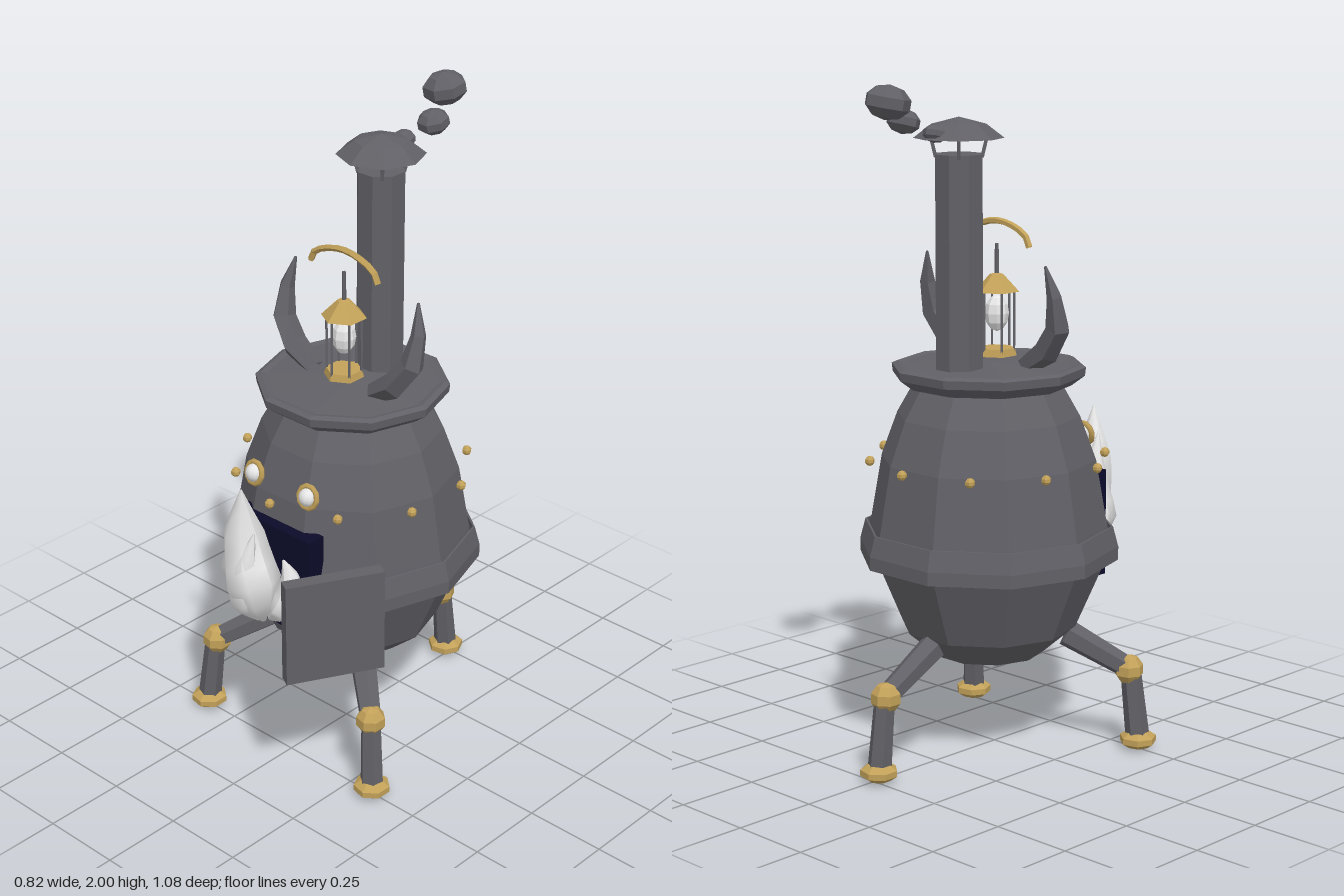
import * as THREE from 'three';

const paint = (name, color, side = THREE.FrontSide) => {
  const m = new THREE.MeshStandardMaterial({ color, side });
  m.name = name;
  return m;
};
const V = (x, y, z) => new THREE.Vector3(x, y, z);

// Faceted copy of a geometry
function flat(g) {
  const f = g.index ? g.toNonIndexed() : g;
  f.computeVertexNormals();
  return f;
}
const lathe = (pts, sides) =>
  flat(new THREE.LatheGeometry(pts.map(p => new THREE.Vector2(p[0], p[1])), sides));
const ball = (r, w = 7, h = 5) => flat(new THREE.SphereGeometry(r, w, h));

// Tapered tube: radii are spread evenly along the path
function horn(path, radii, sides, steps) {
  const curve = new THREE.CatmullRomCurve3(path);
  const g = new THREE.TubeGeometry(curve, steps, 1, sides, false);
  const pos = g.attributes.position, v = V(0, 0, 0);
  for (let i = 0; i <= steps; i++) {
    const c = curve.getPointAt(i / steps);
    const t = (i / steps) * (radii.length - 1), k = Math.min(Math.floor(t), radii.length - 2);
    const r = THREE.MathUtils.lerp(radii[k], radii[k + 1], t - k);
    for (let j = 0; j <= sides; j++) {
      const n = i * (sides + 1) + j;
      v.fromBufferAttribute(pos, n).sub(c).multiplyScalar(r).add(c);
      pos.setXYZ(n, v.x, v.y, v.z);
    }
  }
  g.computeVertexNormals();
  return g;
}

// Straight rod between two points
function rod(a, b, ra, rb, sides) {
  const d = b.clone().sub(a);
  const g = new THREE.CylinderGeometry(rb, ra, d.length(), sides);
  g.applyQuaternion(new THREE.Quaternion().setFromUnitVectors(V(0, 1, 0), d.clone().normalize()));
  g.translate((a.x + b.x) / 2, (a.y + b.y) / 2, (a.z + b.z) / 2);
  return flat(g);
}

export function createModel() {
  const iron = paint('iron', 0x616066);
  const ironOpen = paint('iron sheet', 0x616066, THREE.DoubleSide);
  const brass = paint('brass', 0xc2a159);
  const white = paint('white glow', 0xe6e6e6);
  const navy = paint('dark opening', 0x0b0b2a);

  const model = new THREE.Group();
  model.name = 'cauldronStove';
  const group = (name, x = 0, y = 0, z = 0, parent = model) => {
    const g = new THREE.Group();
    g.name = name;
    g.position.set(x, y, z);
    parent.add(g);
    return g;
  };
  const add = (parent, name, geo, mat, x = 0, y = 0, z = 0) => {
    const m = new THREE.Mesh(geo, mat);
    m.name = name;
    m.position.set(x, y, z);
    parent.add(m);
    return m;
  };

  // Ten-sided pot, belt and lid, with corners on the x axis
  const CX = -0.01, CZ = -0.036, Q = Math.PI / 2;
  const pot = group('pot', CX, 0, CZ);
  add(pot, 'body', lathe([[0, 0.307], [0.165, 0.307], [0.262, 0.39], [0.348, 0.59], [0.362, 0.65],
    [0.355, 0.7], [0.32, 0.9], [0.272, 1.03], [0.215, 1.13]], 10), iron).rotation.y = Q;

  // Belt stops either side of the fire opening
  const belt = new THREE.LatheGeometry([[0.37, 0.595], [0.388, 0.6], [0.388, 0.64], [0.372, 0.7], [0.366, 0.7]]
    .map(p => new THREE.Vector2(p[0], p[1])), 9, Math.PI / 10, Math.PI * 1.8);
  add(pot, 'belt', flat(belt), ironOpen);
  add(pot, 'lid', lathe([[0, 1.12], [0.245, 1.12], [0.285, 1.15], [0.288, 1.175], [0.272, 1.182],
    [0.255, 1.178], [0, 1.19]], 10), iron).rotation.y = Q;

  // Ring of rivets, one per face
  for (let i = 0; i < 10; i++) {
    const a = (i * Math.PI) / 5;
    add(pot, 'rivet', ball(0.015, 6, 5), brass, 0.352 * Math.sin(a), 0.9, 0.352 * Math.cos(a));
  }

  // Three jointed legs
  [0.88, Math.PI, -0.88].forEach((a, i) => {
    const leg = group(['leftLeg', 'backLeg', 'rightLeg'][i], 0, 0, 0, pot);
    leg.rotation.y = a;
    add(leg, 'thigh', rod(V(0, 0.365, 0.235), V(0, 0.265, 0.41), 0.042, 0.034, 6), iron);
    add(leg, 'knee', ball(0.046), brass, 0, 0.255, 0.422);
    add(leg, 'shin', rod(V(0, 0.05, 0.45), V(0, 0.25, 0.428), 0.036, 0.031, 6), iron);
    add(leg, 'foot', ball(0.058), brass, 0, 0.037, 0.452).scale.set(1, 0.5, 1);
  });

  // Fire opening and swung-open door
  add(model, 'fireOpening', new THREE.BoxGeometry(0.312, 0.325, 0.06), navy, -0.008, 0.665, 0.286);
  add(model, 'door', new THREE.BoxGeometry(0.293, 0.32, 0.043), iron, 0.318, 0.665, 0.396).rotation.y = 1.072;

  // Flames licking out of the opening
  const fire = group('flames', CX, 0, 0);
  [
    [[V(0.01, 0.53, 0.36), V(0.02, 0.64, 0.4), V(-0.02, 0.8, 0.4), V(-0.005, 0.99, 0.425)], [0.01, 0.085, 0.06, 0.002]],
    [[V(-0.03, 0.55, 0.36), V(-0.085, 0.65, 0.36), V(-0.065, 0.78, 0.36), V(-0.06, 0.92, 0.385)], [0.01, 0.055, 0.04, 0.002]],
    [[V(0.03, 0.54, 0.35), V(0.09, 0.61, 0.35), V(0.105, 0.69, 0.34), V(0.095, 0.77, 0.36)], [0.01, 0.05, 0.035, 0.002]],
    [[V(0, 0.53, 0.37), V(0, 0.62, 0.42), V(0.015, 0.74, 0.435), V(0.04, 0.86, 0.42)], [0.005, 0.05, 0.035, 0.002]],
    [[V(-0.04, 0.56, 0.34), V(-0.1, 0.62, 0.34), V(-0.12, 0.68, 0.34), V(-0.1, 0.76, 0.35)], [0.005, 0.035, 0.025, 0.002]],
  ].forEach(([path, radii]) => add(fire, 'flame', horn(path, radii, 7, 9), white));

  // Eyes in brass rims, and horns
  for (const s of [-1, 1]) {
    const side = s > 0 ? 'left' : 'right';
    const eye = group(side + 'Eye', CX + s * 0.108, 0.943, 0.268);
    eye.rotation.set(-0.25, s * 0.08, 0);
    add(eye, 'eyeball', new THREE.SphereGeometry(0.028, 10, 8), white);
    add(eye, 'eyeRim', new THREE.TorusGeometry(0.033, 0.009, 5, 10), brass);
    const path = [V(s * 0.12, 1.185, 0), V(s * 0.23, 1.265, 0), V(s * 0.262, 1.35, -0.02), V(s * 0.24, 1.49, -0.05)];
    add(model, side + 'Horn', flat(horn(path, [0.03, 0.044, 0.03, 0.004], 5, 4)), ironOpen, CX);
  }

  // Chimney with raised cap
  const chimney = group('chimney', CX, 0, -0.155);
  add(chimney, 'pipe', flat(new THREE.CylinderGeometry(0.073, 0.073, 0.62, 8)), iron, 0, 1.49, 0).rotation.y = Math.PI / 8;
  add(chimney, 'cap', lathe([[0, 1.86], [0.13, 1.845], [0.078, 1.885], [0, 1.905]], 8), ironOpen);
  for (let i = 0; i < 4; i++) {
    const a = Math.PI / 4 + i * Q, x = Math.sin(a), z = Math.cos(a);
    add(chimney, 'capStrut', rod(V(x * 0.066, 1.79, z * 0.066), V(x * 0.085, 1.87, z * 0.085), 0.007, 0.007, 4), iron);
  }

  // Drifting smoke
  [[-0.03, 1.96, -0.45, 0.068], [0.025, 1.9, -0.338, 0.05], [-0.01, 1.862, -0.25, 0.036]].forEach(([x, y, z, r], i) => {
    const puff = add(model, 'smokePuff', ball(r, 7, 5), iron, x, y, z);
    puff.scale.set(1, 0.72, 1);
    puff.rotation.set(0.15, i, 0.1);
  });

  // Lantern on the lid
  const lantern = group('lantern', CX, 0, 0);
  add(lantern, 'lanternBase', flat(new THREE.CylinderGeometry(0.055, 0.06, 0.022, 6)), brass, 0, 1.212, 0);
  add(lantern, 'lanternRoof', lathe([[0, 1.39], [0.068, 1.39], [0.02, 1.44], [0, 1.445]], 6), brass);
  add(lantern, 'spike', flat(new THREE.CylinderGeometry(0.006, 0.007, 0.09, 5)), iron, 0, 1.485, 0);
  add(lantern, 'glow', ball(0.036, 8, 6), white, 0, 1.325, 0).scale.set(1, 1.5, 1);
  for (let i = 0; i < 6; i++) {
    const a = (i * Math.PI) / 3;
    add(lantern, 'post', flat(new THREE.CylinderGeometry(0.005, 0.005, 0.19, 4)), iron,
      0.052 * Math.sin(a), 1.305, 0.052 * Math.cos(a));
  }
  const arc = new THREE.CatmullRomCurve3([V(-0.13, 1.53, 0), V(-0.115, 1.56, 0), V(-0.06, 1.587, 0),
    V(0, 1.597, 0), V(0.06, 1.587, 0), V(0.115, 1.56, 0), V(0.13, 1.53, 0)]);
  const handleBrass = paint('brass sheet', 0xc2a159, THREE.DoubleSide);
  add(lantern, 'handle', flat(new THREE.TubeGeometry(arc, 10, 0.01, 5)), handleBrass);

  return model;
}
